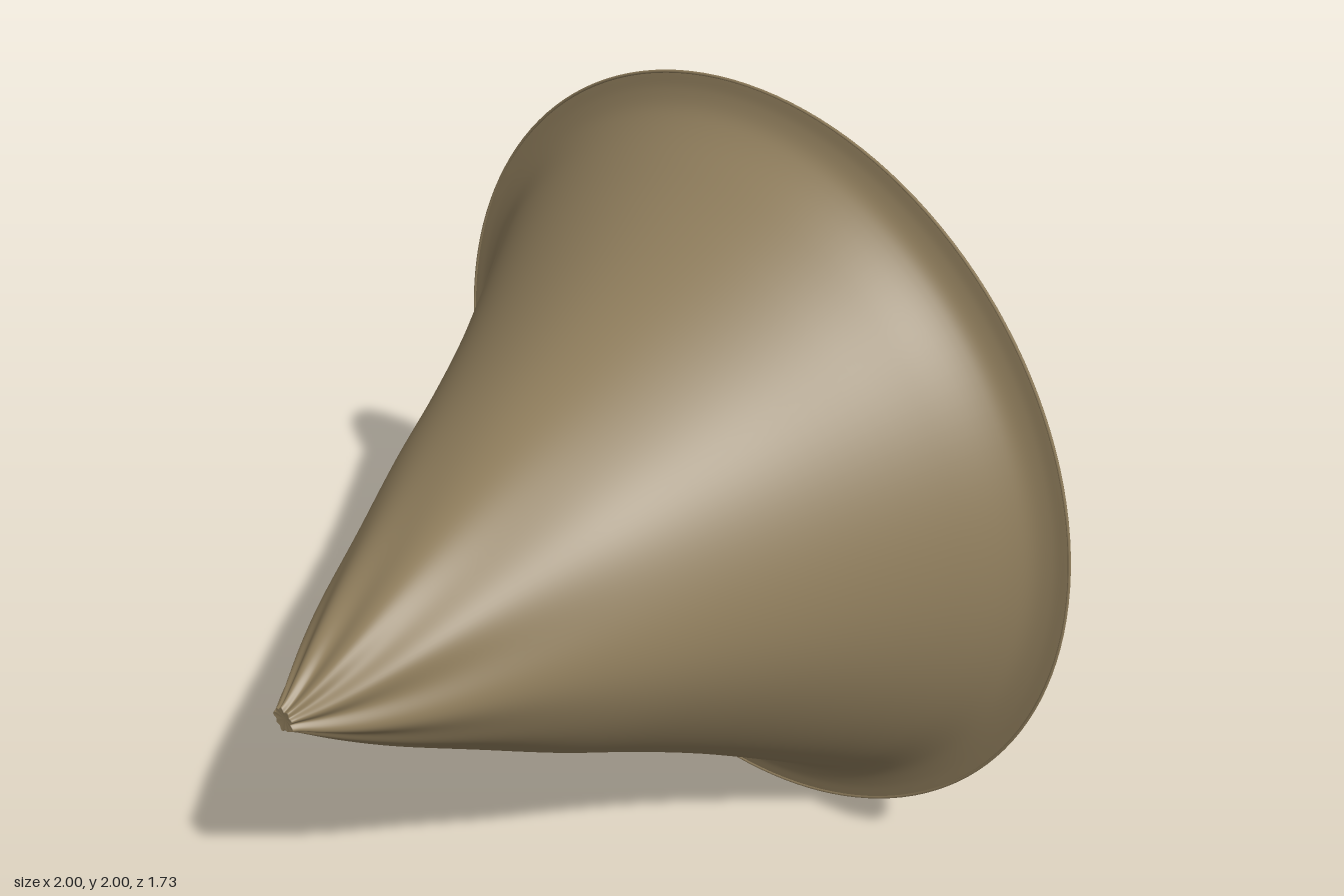
import * as THREE from 'three';
import { mergeVertices } from 'three/addons/utils/BufferGeometryUtils.js';

const material = new THREE.MeshStandardMaterial({ color: 0x8f7d5c, side: THREE.DoubleSide, roughness: 0.9 });

// Lathe around the z axis from [radius, z] points, with seamless smooth normals
function latheZ(points, segments, deform) {
  const lathe = new THREE.LatheGeometry(points, segments);
  lathe.rotateX(Math.PI / 2);
  lathe.deleteAttribute('uv');
  lathe.deleteAttribute('normal');
  const geo = mergeVertices(lathe, 1e-5);
  if (deform) {
    const pos = geo.attributes.position;
    for (let i = 0; i < pos.count; i++) {
      const x = pos.getX(i), y = pos.getY(i), z = pos.getZ(i);
      const s = deform(Math.atan2(y, x), z);
      pos.setXY(i, x * s, y * s);
    }
  }
  geo.computeVertexNormals();
  return geo;
}

// Radius factor: tight twisted pleats at the gathered tip, broad soft folds further back
function folds(angle, z) {
  const d = 0.87 - z;
  const a = angle + 0.5 * Math.exp(-d * 4);
  const tight = 0.13 * Math.exp(-d * 5.5);
  const broad = 0.018 * Math.exp(-d * 1.2) * THREE.MathUtils.smoothstep(z, -0.64, -0.1);
  return 1 + tight * (Math.sin(9 * a + 0.6) + 0.6 * Math.sin(5 * a + 2))
    + broad * (Math.sin(4 * a + 1) + 0.8 * Math.sin(7 * a + 2.4) + Math.cos(a + 0.5));
}

export function createModel() {
  const group = new THREE.Group();
  group.name = 'gatheredCone';

  // Cloth cone: flared rim at the back, pinched tip at the front
  const profile = new THREE.CatmullRomCurve3([
    [0.995, -0.65], [0.955, -0.643], [0.915, -0.625], [0.88, -0.59], [0.82, -0.5], [0.755, -0.4],
    [0.63, -0.2], [0.52, 0], [0.42, 0.2], [0.31, 0.4], [0.2, 0.6], [0.125, 0.72],
    [0.07, 0.8], [0.035, 0.85], [0.028, 0.864],
  ].map(([r, z]) => new THREE.Vector3(r, z, 0)), false, 'centripetal');
  const points = profile.getPoints(84).map((p) => new THREE.Vector2(p.x, p.y));
  points.push(new THREE.Vector2(0, 0.858));
  const cone = new THREE.Mesh(latheZ(points, 144, folds), material);
  cone.name = 'clothCone';

  // Thin border around the opening
  const rim = new THREE.Mesh(new THREE.TorusGeometry(0.996, 0.004, 6, 144), material);
  rim.name = 'rim';
  rim.position.z = -0.65;

  // Shallow cone closing the back
  const backPoints = [[0, -0.866], [0.5, -0.758], [1, -0.65]].map(([r, z]) => new THREE.Vector2(r, z));
  const back = new THREE.Mesh(latheZ(backPoints, 144), material);
  back.name = 'backCover';

  group.add(cone, rim, back);
  group.children.forEach((part) => { part.position.y = 1; });
  return group;
}
